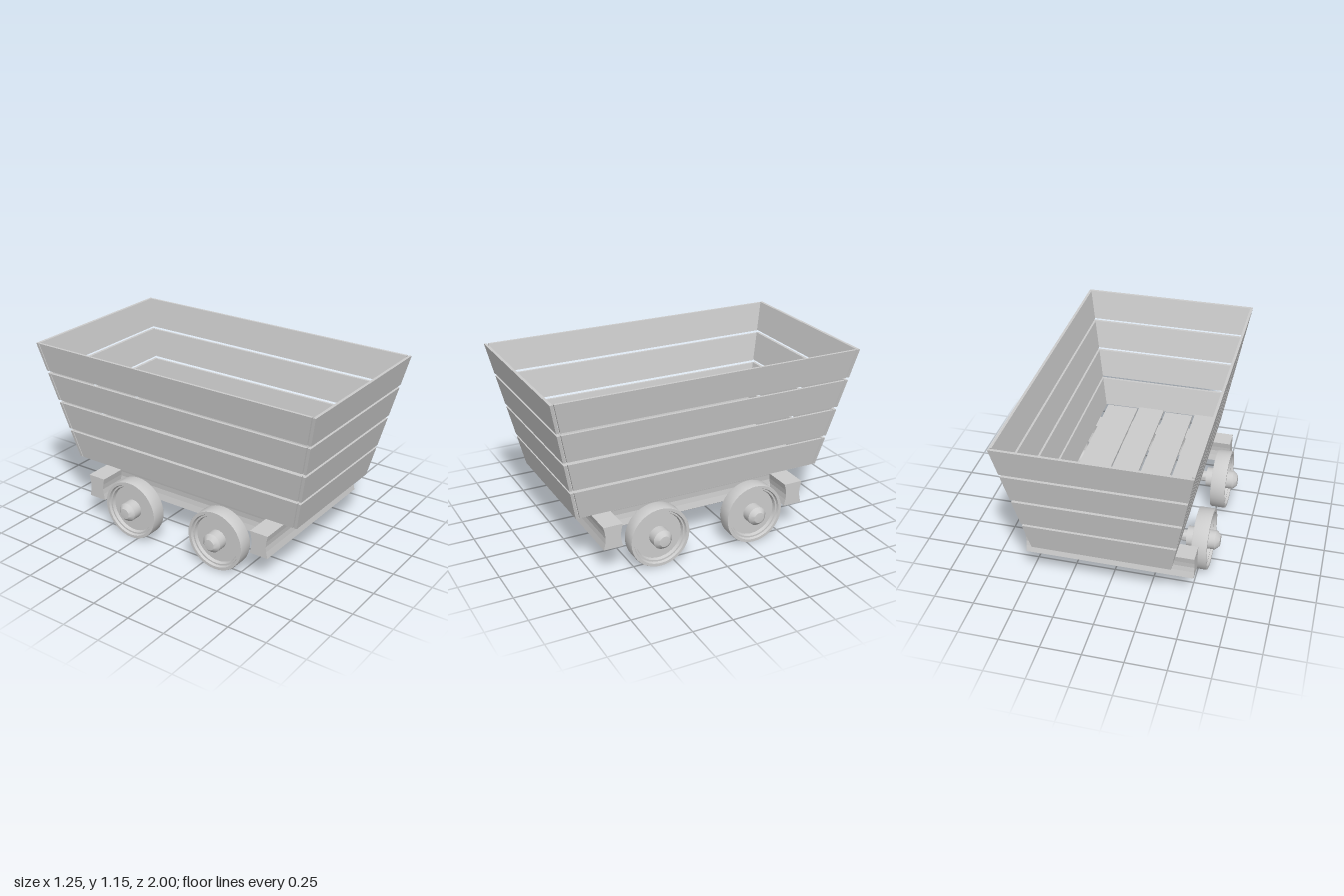
import * as THREE from 'three';
import { toCreasedNormals } from 'three/addons/utils/BufferGeometryUtils.js';

const material = new THREE.MeshStandardMaterial({ color: 0xcccccc });

function add(parent, geometry, name) {
  const mesh = new THREE.Mesh(geometry, material);
  mesh.name = name;
  parent.add(mesh);
  return mesh;
}

// Outward-leaning outer faces of the tub at height y
const BASE = 0.363;
const sideX = (y) => 0.42 + 0.184 * (y - BASE);
const endZ = (y) => 0.823 + 0.225 * (y - BASE);

// Unit box whose vertices are mapped by a rule (u, v, w in -1..1, 0..1, 0..1)
function shapedBox(rule) {
  const g = new THREE.BoxGeometry(1, 1, 1).toNonIndexed();
  const p = g.attributes.position;
  for (let i = 0; i < p.count; i++) {
    p.setXYZ(i, ...rule(p.getX(i) * 2, p.getY(i) + 0.5, p.getZ(i) + 0.5));
  }
  g.computeVertexNormals();
  return g;
}

// Plank across an end, its outer face toward +z
function endBoard(y0, y1) {
  return shapedBox((u, v, w) => {
    const y = y0 + (y1 - y0) * v;
    return [u * sideX(y), y, endZ(y) - 0.018 * (1 - w)];
  });
}

// Plank along a side, its outer face toward +z until it is turned
function sideBoard(y0, y1) {
  return shapedBox((u, v, w) => {
    const y = y0 + (y1 - y0) * v;
    return [u * (endZ(y) - 0.025), y, sideX(y) - 0.016 * (1 - w)];
  });
}

// Beam with gently hollowed sides, running along z and centred
function beam(width, height, length) {
  const h = width / 2, y = height / 2, d = 0.013;
  const half = [[h, -y], [h - d * 0.7, -y * 0.45], [h - d, 0], [h - d * 0.7, y * 0.45], [h, y]];
  const points = [...half, ...half.map(([a, b]) => [-a, -b])].map(([a, b]) => new THREE.Vector2(a, b));
  const g = new THREE.ExtrudeGeometry(new THREE.Shape(points), { depth: length, bevelEnabled: false });
  return g.translate(0, 0, -length / 2);
}

// Lathe whose axis lies along +x; profile pairs are [radius, x]
function turned(profile, segments = 40) {
  const g = new THREE.LatheGeometry(profile.map(([r, x]) => new THREE.Vector2(r, x)), segments);
  return toCreasedNormals(g.rotateZ(-Math.PI / 2), 0.6);
}

function wheelSet() {
  const group = new THREE.Group();
  group.name = 'wheelSet';
  // Wheel with a stepped rim around recessed faces
  add(group, turned([
    [0, 0.492], [0.15, 0.492], [0.158, 0.48], [0.165, 0.48], [0.17, 0.47], [0.19, 0.47],
    [0.192, 0.475], [0.192, 0.56], [0.19, 0.565], [0.172, 0.565], [0.166, 0.55], [0.156, 0.55],
    [0.15, 0.53], [0, 0.53],
  ]), 'wheel');
  // Outer hub cap
  add(group, turned([[0.06, 0.525], [0.06, 0.592], [0.052, 0.603], [0.034, 0.62], [0, 0.623]], 24), 'hubCap');
  // Inner hub and stub axle
  add(group, turned([
    [0, 0.277], [0.035, 0.277], [0.035, 0.415], [0.063, 0.415], [0.063, 0.5],
  ], 24), 'stubAxle');
  return group;
}

export function createModel() {
  const cart = new THREE.Group();
  cart.name = 'mineCart';

  // Tub: four rows of planks on each of the four walls
  const tub = new THREE.Group();
  tub.name = 'tub';
  cart.add(tub);
  for (const [y0, y1] of [[0.363, 0.547], [0.565, 0.746], [0.765, 0.947], [0.965, 1.15]]) {
    add(tub, endBoard(y0, y1), 'frontBoard');
    add(tub, endBoard(y0, y1), 'backBoard').rotation.y = Math.PI;
    add(tub, sideBoard(y0, y1), 'leftBoard').rotation.y = Math.PI / 2;
    add(tub, sideBoard(y0, y1), 'rightBoard').rotation.y = -Math.PI / 2;
  }

  // Floor planks, alternately set a little lower
  const planks = [[-0.402, -0.234, 0.36], [-0.217, -0.023, 0.348], [-0.012, 0.165, 0.36], [0.178, 0.392, 0.348]];
  for (const [x0, x1, y] of planks) {
    add(tub, new THREE.BoxGeometry(x1 - x0, 0.016, 1.6), 'floorPlank')
      .position.set((x0 + x1) / 2, y + 0.006, 0);
  }

  // Chassis: two long beams and a cross beam at each end
  const chassis = new THREE.Group();
  chassis.name = 'chassis';
  cart.add(chassis);
  for (const x of [-0.308, 0.29]) {
    add(chassis, beam(0.104, 0.145, 1.13), 'longBeam').position.set(x, 0.273, 0.021);
  }
  for (const z of [0.635, -0.595]) {
    const cross = add(chassis, beam(0.122, 0.147, 1.045), 'crossBeam');
    cross.rotation.y = Math.PI / 2;
    cross.position.set(-0.002, 0.246, z);
  }

  // Four wheels, each on its own stub axle
  for (const z of [0.35, -0.293]) {
    for (const turn of [0, Math.PI]) {
      const set = wheelSet();
      set.rotation.y = turn;
      set.position.set(0, 0.192, z);
      cart.add(set);
    }
  }
  return cart;
}
